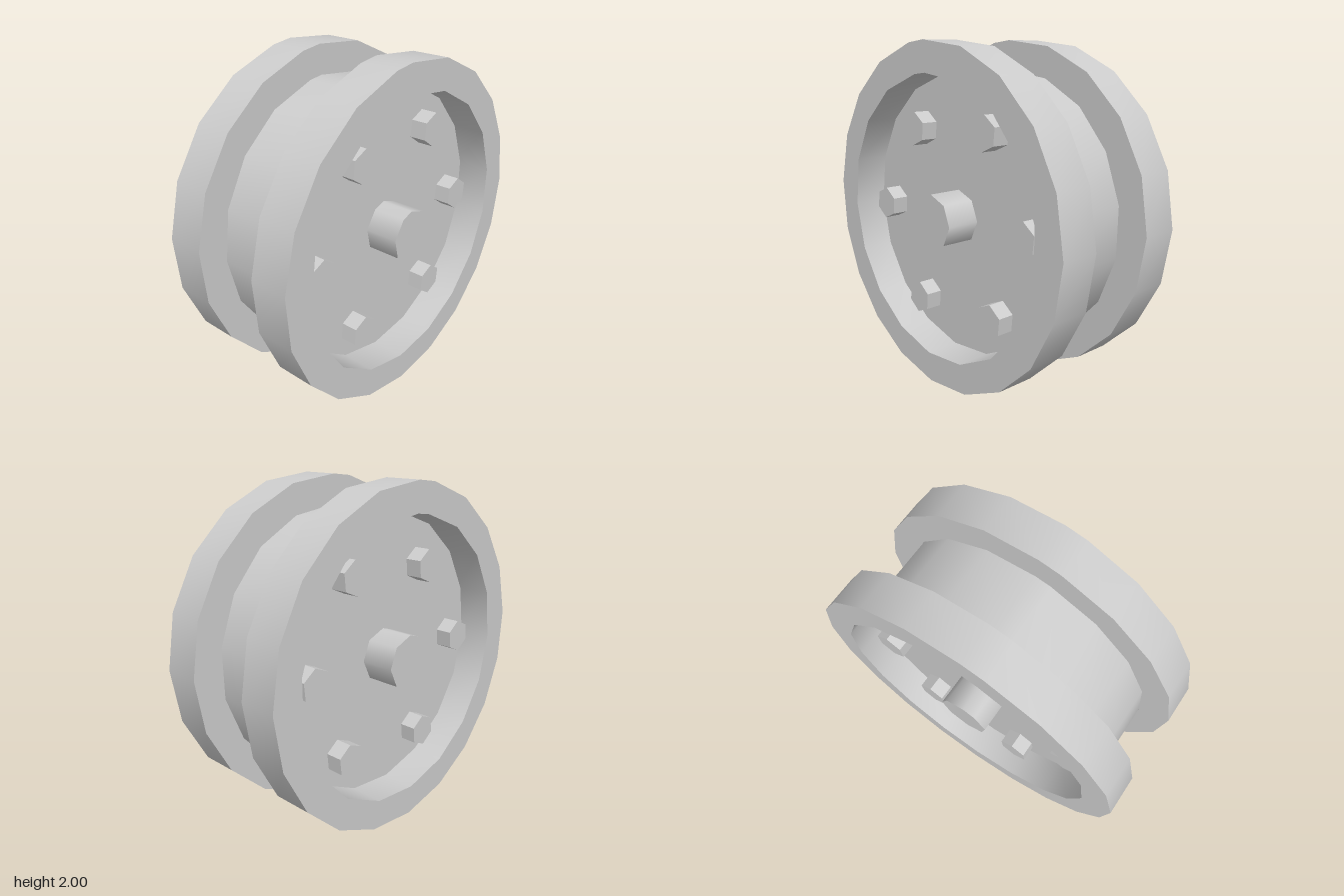
import * as THREE from 'three';
import { toCreasedNormals } from 'three/addons/utils/BufferGeometryUtils.js';

const AXIS_Y = 0.999;
const { degToRad } = THREE.MathUtils;

// Counter-clockwise circle cut into equal steps (degrees) with one short closing side
function circlePoints(radius, step, start, cu, cv) {
  const points = [];
  for (let a = 0; a < 359; a += step) {
    const angle = degToRad(start - a);
    points.push(new THREE.Vector2(cu + radius * Math.cos(angle), cv + radius * Math.sin(angle)));
  }
  return points.reverse();
}

export function createModel() {
  const group = new THREE.Group();
  const material = new THREE.MeshStandardMaterial({ color: 0xcccccc });

  // Extrudes a round outline along x, from x0 to x1
  function addRound(name, radius, step, x0, x1, { z = 0, y = AXIS_Y, start = 93, hole, crease = 0.9 } = {}) {
    const shape = new THREE.Shape(circlePoints(radius, step, start, -z, y));
    if (hole) shape.holes.push(new THREE.Path(hole));
    const geometry = new THREE.ExtrudeGeometry(shape, { depth: x1 - x0, bevelEnabled: false });
    geometry.translate(0, 0, x0).rotateY(Math.PI / 2);
    const mesh = new THREE.Mesh(toCreasedNormals(geometry, crease), material);
    mesh.name = name;
    group.add(mesh);
  }

  // Solid drum reaching slightly into the two open rims
  addRound('drum', 0.823, 20.8, -0.23, 0.23);
  const hole = circlePoints(0.825, 20.8, 93, 0, AXIS_Y);
  addRound('leftRim', 1, 18.55, 0.2, 0.43, { hole });
  addRound('rightRim', 1, 18.55, -0.43, -0.2, { hole });

  // Axle, flush with the outer faces of the rims
  addRound('axle', 0.157, 47.3, -0.43, 0.43);

  // Hexagonal bolts running through the drum, as [z, y]
  const bolts = [
    [0.30, 1.49], [-0.325, 1.52], [0.63, 0.985],
    [-0.62, 1.01], [0.29, 0.44], [-0.365, 0.485],
  ];
  bolts.forEach(([z, y], i) =>
    addRound(`bolt${i + 1}`, 0.1, 60, -0.33, 0.33, { z, y, start: 84, crease: 0.5 }));

  return group;
}
